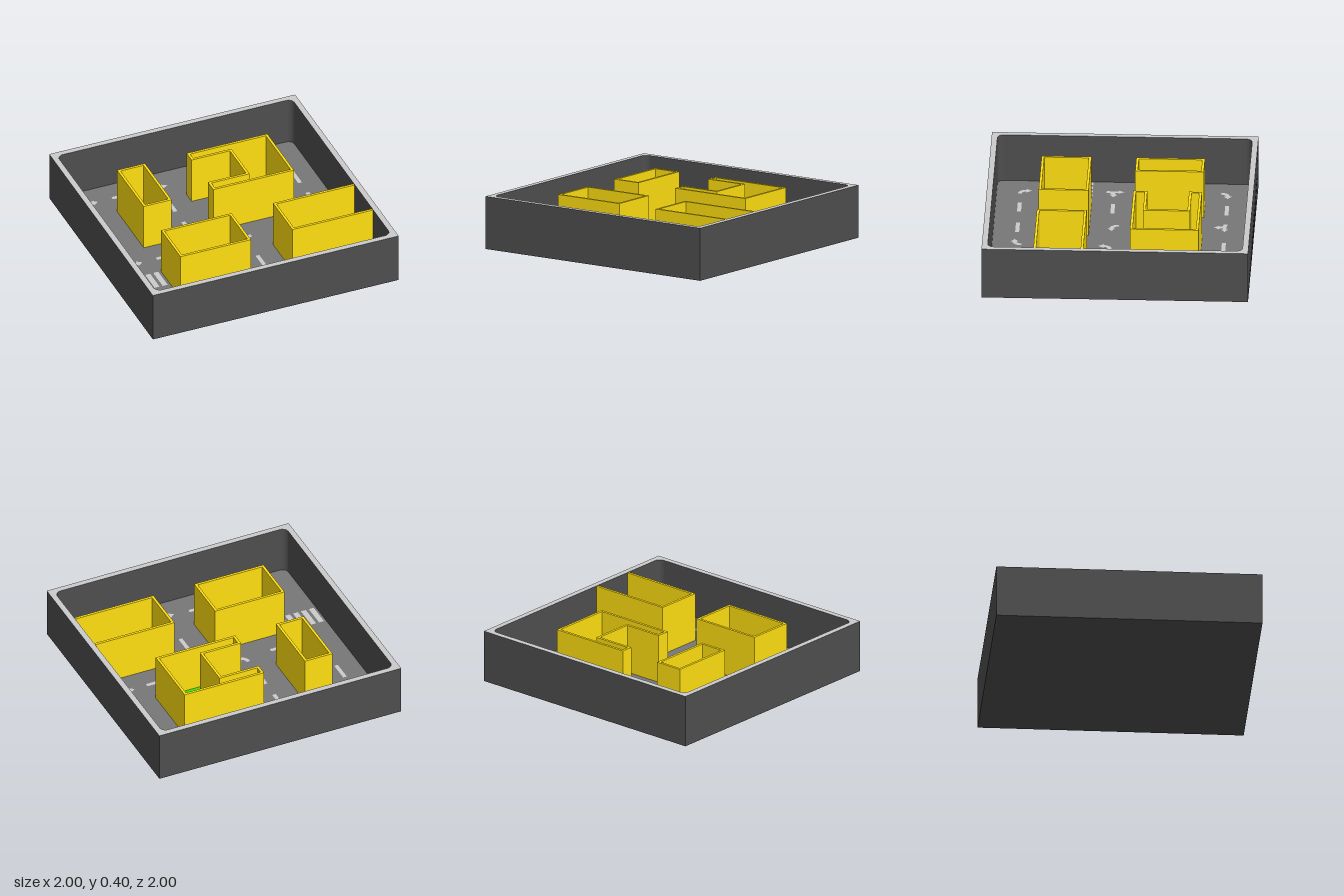
import * as THREE from 'three';

const HALF = 0.994, HEIGHT = 0.4, FLOOR = 0.02, BULGE = 0.006, WALL = 0.02;
const mat = color => new THREE.MeshStandardMaterial({ color });
const dark = mat(0x4e4e4e), rimGrey = mat(0xc4c4c4), asphalt = mat(0x777777);
const paint = mat(0xcccccc), yellow = mat(0xffdf10), green = mat(0x3ae608);

// Plan outlines are [x, z] lists; shapes live in (x, -z) and are laid flat.
const toVectors = pts => pts.map(([x, z]) => new THREE.Vector2(x, -z));
const toShape = pts => new THREE.Shape(toVectors(pts));
const rect = (x0, z0, x1, z1) => [[x0, z0], [x1, z0], [x1, z1], [x0, z1]];

function add(parent, name, geo, material, y = 0) {
  const mesh = new THREE.Mesh(geo, material);
  mesh.name = name;
  mesh.position.y = y;
  parent.add(mesh);
}

const flat = pts => new THREE.ShapeGeometry(toShape(pts)).rotateX(-Math.PI / 2);
const raised = (shape, depth) =>
  new THREE.ExtrudeGeometry(shape, { depth, bevelEnabled: false, curveSegments: 8 }).rotateX(-Math.PI / 2);

function roundedSquare(h, r) {
  const p = new THREE.Path();
  p.absarc(h - r, h - r, r, 0, Math.PI / 2);
  p.absarc(-h + r, h - r, r, Math.PI / 2, Math.PI);
  p.absarc(-h + r, -h + r, r, Math.PI, Math.PI * 1.5);
  p.absarc(h - r, -h + r, r, Math.PI * 1.5, Math.PI * 2);
  p.closePath();
  return p;
}

// Arrow outlines: u runs along the final direction, v along the starting one.
function turnArrow() {
  const n = 8;
  const arc = r => Array.from({ length: n + 1 }, (_, i) => {
    const a = Math.PI * (1 - i / n / 2);
    return [0.045 + r * Math.cos(a), 0.008 + r * Math.sin(a)];
  });
  return [[-0.015, 0], ...arc(0.06), [0.045, 0.085], [0.087, 0.053], [0.045, 0.021],
    ...arc(0.03).reverse(), [0.015, 0]];
}
const straightArrow = [[-0.012, 0], [-0.012, 0.09], [-0.026, 0.09], [0, 0.133], [0.026, 0.09], [0.012, 0.09], [0.012, 0]];

const place = (pts, [x, z], d, e) =>
  pts.map(([u, v]) => [x + d[0] * v + e[0] * u, z + d[1] * v + e[1] * u]);

export function createModel() {
  const model = new THREE.Group();
  model.name = 'roadTray';

  // Tray: floor slab, surrounding wall with a lighter rim, slightly bowed outer faces
  add(model, 'floorSlab', new THREE.BoxGeometry(2 * HALF, FLOOR, 2 * HALF), dark, FLOOR / 2);
  const frame = toShape(rect(-HALF, -HALF, HALF, HALF));
  frame.holes.push(roundedSquare(0.95, 0.05));
  add(model, 'trayWall', raised(frame, HEIGHT - FLOOR), [rimGrey, dark], FLOOR);

  for (let i = 0; i < 4; i++) {
    const geo = new THREE.PlaneGeometry(2 * HALF, HEIGHT, 16, 8);
    const p = geo.attributes.position;
    for (let k = 0; k < p.count; k++) {
      const s = Math.cos(p.getX(k) / HALF * Math.PI / 2) * Math.cos(p.getY(k) / HEIGHT * Math.PI);
      p.setZ(k, HALF + BULGE * Math.max(0, s));
    }
    add(model, 'outerFace', geo.rotateY(i * Math.PI / 2), dark, HEIGHT / 2);
  }

  // Road surface
  add(model, 'road', new THREE.PlaneGeometry(1.91, 1.91).rotateX(-Math.PI / 2), asphalt, FLOOR + 0.002);

  // Walled islands with green floors; the hole runs against the outline so its faces look inwards
  const w = WALL, wallHeight = HEIGHT - FLOOR - 0.002;
  const island = (name, outer, inner) => {
    const shape = toShape(outer);
    shape.holes.push(new THREE.Path(toVectors(inner).reverse()));
    add(model, name + 'Wall', raised(shape, wallHeight), yellow, FLOOR);
    add(model, name + 'Lawn', flat(inner), green, FLOOR + 0.008);
  };
  const boxIsland = (name, x0, z0, x1, z1) =>
    island(name, rect(x0, z0, x1, z1), rect(x0 + w, z0 + w, x1 - w, z1 - w));
  boxIsland('narrowIsland', -0.608, -0.61, -0.382, -0.098);
  boxIsland('frontIsland', -0.608, 0.236, -0.038, 0.608);

  const notched = (x0, z0, x1, z1, nx, nz0, nz1) =>
    [[x0, z0], [x1, z0], [x1, z1], [x0, z1], [x0, nz1], [nx, nz1], [nx, nz0], [x0, nz0]];
  island('notchedIsland',
    notched(-0.045, -0.61, 0.607, -0.098, 0.264, -0.514, -0.203),
    notched(-0.045 + w, -0.61 + w, 0.607 - w, -0.098 - w, 0.264 + w, -0.514 - w, -0.203 + w));

  // Island open towards the tray wall
  const [a, b, c, e] = [0.297, 0.947, 0.236, 0.608];
  add(model, 'sideIslandWall', raised(toShape([[b, c], [a, c], [a, e], [b, e],
    [b, e - w], [a + w, e - w], [a + w, c + w], [b, c + w]]), wallHeight), yellow, FLOOR);
  add(model, 'sideIslandLawn', flat(rect(a + w, c + w, b, e - w)), green, FLOOR + 0.008);

  // Painted lane dashes and crossing stripes
  const marks = new THREE.Group();
  marks.name = 'roadMarkings';
  model.add(marks);
  const mark = (name, pts) => add(marks, name, flat(pts), paint, FLOOR + 0.005);
  const bar = (name, x, z, sx, sz) => mark(name, rect(x - sx / 2, z - sz / 2, x + sx / 2, z + sz / 2));
  const across = [[-0.497, -0.777], [0.132, -0.777], [0.505, -0.777], [-0.497, 0.074], [0.523, 0.07],
    [-0.497, 0.77], [-0.152, 0.77], [0.42, 0.77], [0.783, 0.77]];
  const along = [[-0.78, -0.382], [-0.208, -0.515], [-0.208, -0.21], [0.792, -0.498], [0.792, -0.202], [0.133, 0.406]];
  across.forEach(([x, z]) => bar('laneDash', x, z, 0.16, 0.03));
  along.forEach(([x, z]) => bar('laneDash', x, z, 0.03, 0.16));
  for (let i = 0; i < 5; i++) bar('crossingStripe', -0.911 + i * 0.065, 0.325, 0.04, 0.182);

  // Painted arrows: tail position, starting direction, final direction
  const R = [1, 0], L = [-1, 0], U = [0, -1], D = [0, 1];
  const turns = [
    [[-0.78, -0.722], U, R], [[-0.26, -0.778], R, D], [[0.732, -0.778], R, D],
    [[-0.778, 0.13], U, R], [[-0.208, 0.017], D, R], [[0.192, 0.07], L, D],
    [[0.792, 0.012], D, L], [[-0.722, 0.775], L, U], [[0.133, 0.73], D, L]];
  turns.forEach(([t, d, f]) => mark('turnArrow', place(turnArrow(), t, d, f)));
  mark('straightArrow', place(straightArrow, [-0.265, -0.773], R, D));
  mark('straightArrow', place(straightArrow, [-0.778, 0.13], U, R));

  return model;
}
